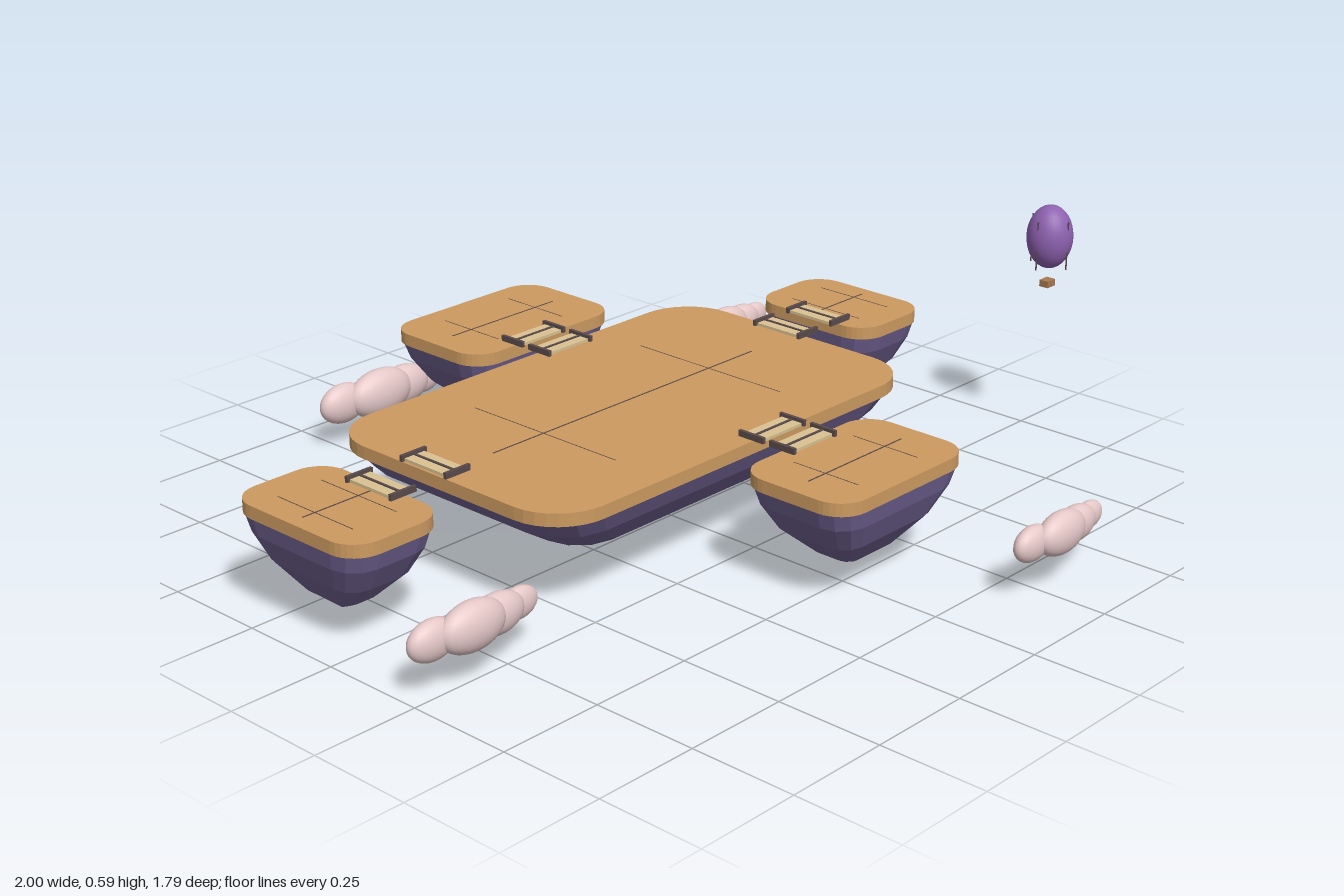
import * as THREE from 'three';

const mat = (color, extra = {}) => new THREE.MeshStandardMaterial({ color, ...extra });
const deckMat = mat(0xcc9a60);
const rockMat = mat(0x6f6190, { flatShading: true });
const darkMat = mat(0x5a4a4a);
const plankMat = mat(0xd9c292);
const cloudMat = mat(0xe6c8c8);
const balloonMat = mat(0x8e62b0);
const basketMat = mat(0xa87850);

const DECK_TOP = 0.268, DECK_BOTTOM = 0.238;

function add(parent, name, geometry, material, x = 0, y = 0, z = 0) {
  const mesh = new THREE.Mesh(geometry, material);
  mesh.name = name;
  mesh.position.set(x, y, z);
  parent.add(mesh);
  return mesh;
}

// Corner arcs of a rounded rectangle, as a closed counter-clockwise loop
function roundedLoop(w, d, r, steps) {
  const points = [];
  [[1, 1], [-1, 1], [-1, -1], [1, -1]].forEach(([sx, sy], corner) => {
    for (let i = 0; i <= steps; i++) {
      const a = (corner + i / steps) * Math.PI / 2;
      points.push(new THREE.Vector2(
        sx * (w / 2 - r) + r * Math.cos(a), sy * (d / 2 - r) + r * Math.sin(a)));
    }
  });
  return points;
}

// Faceted rock: the deck outline shrinking in rings down to a point
function rockGeometry(w, d, r, tip) {
  const rings = [[0, 0.985], [0.2, 0.92], [0.5, 0.73], [0.8, 0.39], [1, 0]];
  const loop = roundedLoop(w, d, r, 3);
  const n = loop.length;
  const positions = [], index = [];
  rings.forEach(([t, s]) => {
    const y = THREE.MathUtils.lerp(DECK_BOTTOM, tip, t);
    loop.forEach(p => positions.push(p.x * s, y, -p.y * s));
  });
  for (let k = 0; k < rings.length - 1; k++) {
    for (let i = 0; i < n; i++) {
      const a = k * n + i, b = k * n + (i + 1) % n;
      index.push(a, a + n, b);
      if (k < rings.length - 2) index.push(b, a + n, b + n);
    }
  }
  const geometry = new THREE.BufferGeometry();
  geometry.setAttribute('position', new THREE.Float32BufferAttribute(positions, 3));
  geometry.setIndex(index);
  geometry.computeVertexNormals();
  return geometry;
}

function island(name, x, z, w, d, r, tip) {
  const group = new THREE.Group();
  group.name = name;
  group.position.set(x, 0, z);
  const deck = new THREE.ExtrudeGeometry(new THREE.Shape(roundedLoop(w, d, r, 8)),
    { depth: DECK_TOP - DECK_BOTTOM, bevelEnabled: false });
  deck.rotateX(-Math.PI / 2);
  add(group, 'deck', deck, deckMat, 0, DECK_BOTTOM, 0);
  add(group, 'rock', rockGeometry(w, d, r, tip), rockMat);
  // Fine seams across the deck
  add(group, 'longSeam', new THREE.BoxGeometry(w * 0.72, 0.002, 0.003), darkMat, 0, DECK_TOP, 0);
  for (const s of [-1, 1]) {
    add(group, 'crossSeam', new THREE.BoxGeometry(0.002, 0.001, d * 0.6), darkMat, s * w * 0.23, DECK_TOP, 0);
  }
  return group;
}

// Short landing: planks with a rail along both sides
function landing(x, z, turned) {
  const group = new THREE.Group();
  group.name = 'bridgeLanding';
  group.position.set(x, 0, z);
  if (turned) group.rotation.y = Math.PI / 2;
  add(group, 'planks', new THREE.BoxGeometry(0.14, 0.007, 0.056), plankMat, 0, 0.272, 0);
  add(group, 'crossBar', new THREE.BoxGeometry(0.14, 0.006, 0.006), darkMat, 0, 0.275, 0);
  for (const s of [-1, 1]) {
    add(group, 'rail', new THREE.BoxGeometry(0.008, 0.014, 0.07), darkMat, s * 0.068, 0.276, 0);
  }
  return group;
}

// Cloud: a row of overlapping flattened puffs
function cloud(x, y, z, size) {
  const group = new THREE.Group();
  group.name = 'cloud';
  group.position.set(x, y, z);
  group.scale.setScalar(size);
  const puffs = [
    [-0.025, 0.005, 0.012, 0.085, 0.055, 0.038],
    [-0.113, 0, -0.008, 0.062, 0.045, 0.03],
    [0.055, -0.003, -0.003, 0.07, 0.046, 0.034],
    [0.125, -0.008, -0.014, 0.05, 0.036, 0.023],
  ];
  for (const [px, py, pz, rx, ry, rz] of puffs) {
    add(group, 'puff', new THREE.SphereGeometry(1, 24, 16), cloudMat, px, py, pz).scale.set(rx, ry, rz);
  }
  return group;
}

function balloon(x, z) {
  const group = new THREE.Group();
  group.name = 'balloon';
  group.position.set(x, 0, z);
  add(group, 'envelope', new THREE.SphereGeometry(1, 24, 18), balloonMat, 0, 0.513, 0).scale.set(0.055, 0.077, 0.055);
  for (let i = 0; i < 4; i++) {
    const a = i * Math.PI / 2;
    add(group, 'rod', new THREE.CylinderGeometry(0.002, 0.002, 0.118, 6), darkMat,
      0.05 * Math.cos(a), 0.5, 0.05 * Math.sin(a));
  }
  add(group, 'basket', new THREE.BoxGeometry(0.03, 0.016, 0.024), basketMat, 0, 0.398, 0);
  return group;
}

export function createModel() {
  const model = new THREE.Group();
  model.name = 'floatingIslands';

  // Islands: name, x, z, width, depth, corner radius, tip height
  [
    ['mainIsland', -0.04, -0.092, 1.16, 0.722, 0.13, 0],
    ['backIsland', 0.137, -0.682, 0.466, 0.31, 0.07, 0.025],
    ['frontIsland', 0.04, 0.495, 0.43, 0.29, 0.07, 0.03],
    ['rightIsland', -0.855, -0.133, 0.25, 0.39, 0.07, 0.035],
    ['leftIsland', 0.78, -0.155, 0.242, 0.35, 0.07, 0.035],
  ].forEach(args => model.add(island(...args)));

  // Landings on facing edges of the islands
  [
    [0.04, 0.263, false], [0.04, 0.35, false],
    [0.098, -0.447, false], [0.098, -0.537, false],
    [-0.587, -0.132, true], [-0.738, -0.132, true],
    [0.546, -0.132, true], [0.667, -0.132, true],
  ].forEach(args => model.add(landing(...args)));

  // Clouds around the islands
  [
    [-0.825, 0.12, 0.245, 1], [0.31, 0.125, 0.845, 0.9],
    [0.78, 0.118, -0.525, 0.93], [-0.1, 0.103, -0.857, 1.1],
  ].forEach(args => model.add(cloud(...args)));

  model.add(balloon(0.942, 0.343));
  return model;
}
